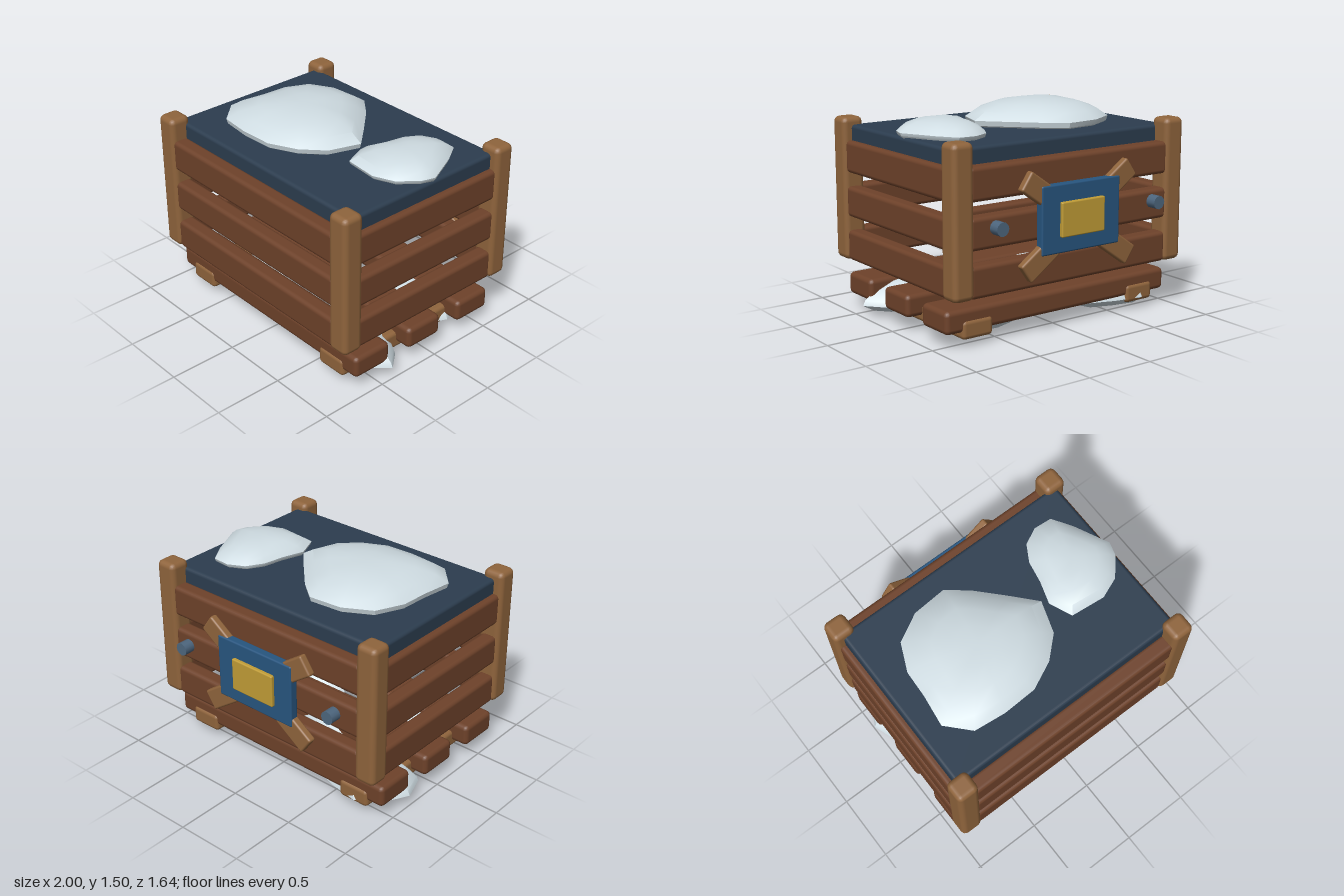
import * as THREE from 'three';
import { RoundedBoxGeometry } from 'three/addons/geometries/RoundedBoxGeometry.js';
import { toCreasedNormals } from 'three/addons/utils/BufferGeometryUtils.js';

const mat = (color) => new THREE.MeshStandardMaterial({ color });

export function createModel() {
  const model = new THREE.Group();
  const darkWood = mat(0x6e422a), lightWood = mat(0x8f643c), navy = mat(0x2c3d4f);
  const blue = mat(0x27557f), gold = mat(0xc09c36), steel = mat(0x4d667e), snow = mat(0xcfdce2);
  const CX = -0.013, CZ = 0.045; // centre of the crate

  const add = (name, geometry, material, x, y, z) => {
    const mesh = new THREE.Mesh(geometry, material);
    mesh.name = name;
    mesh.position.set(x, y, z);
    model.add(mesh);
    return mesh;
  };
  // softened box given by its min and max on each axis
  const block = (name, material, [x0, x1], [y0, y1], [z0, z1], r = 0.03) =>
    add(name, new RoundedBoxGeometry(x1 - x0, y1 - y0, z1 - z0, 2, r), material,
      (x0 + x1) / 2, (y0 + y1) / 2, (z0 + z1) / 2);

  // lump from a plan outline: stacked rings [scale, height], closed at both ends
  const lump = (name, outline, rings, cx, cz) => {
    const n = outline.length, pos = [], idx = [];
    for (const [s, y] of rings)
      for (const [x, z] of outline) pos.push(cx + (x - cx) * s, y, cz + (z - cz) * s);
    const last = rings.length - 1;
    pos.push(cx, rings[0][1], cz, cx, rings[last][1], cz);
    const bottom = n * rings.length, top = bottom + 1;
    for (let i = 0; i < n; i++) {
      const j = (i + 1) % n;
      for (let k = 0; k < last; k++) {
        const a = k * n + i, b = k * n + j;
        idx.push(a, a + n, b, b, a + n, b + n);
      }
      idx.push(bottom, i, j, top, last * n + j, last * n + i);
    }
    const g = new THREE.BufferGeometry();
    g.setAttribute('position', new THREE.Float32BufferAttribute(pos, 3));
    g.setIndex(idx);
    add(name, toCreasedNormals(g, 0.6), snow, 0, 0, 0);
  };

  // corner posts
  for (const x of [[-0.997, -0.833], [0.807, 0.971]])
    for (const z of [[-0.725, -0.565], [0.655, 0.815]])
      block('cornerPost', lightWood, x, [0.36, 1.395], z, 0.04);

  // three rows of slats on all four sides
  for (const y of [[0.36, 0.58], [0.68, 0.9], [1.0, 1.23]]) {
    block('frontSlat', darkWood, [-0.86, 0.834], y, [0.68, 0.8]);
    block('backSlat', darkWood, [-0.86, 0.834], y, [-0.71, -0.59]);
    block('sideSlat', darkWood, [-0.975, -0.86], y, [-0.59, 0.68]);
    block('sideSlat', darkWood, [0.834, 0.95], y, [-0.59, 0.68]);
  }

  // lid with the board below it
  block('lid', navy, [-0.93, 0.905], [1.1, 1.34], [-0.605, 0.695], 0.025);
  block('innerBoard', darkWood, [-0.86, 0.834], [0.98, 1.12], [-0.53, 0.625], 0.02);

  // pallet: long boards on two cross skids
  for (const z of [[0.38, 0.69], [-0.105, 0.2], [-0.585, -0.28]])
    block('palletBoard', darkWood, [-0.97, 0.945], [0.107, 0.268], z, 0.035);
  for (const x of [[-0.845, -0.6], [0.575, 0.82]])
    block('palletSkid', lightWood, x, [0.057, 0.19], [-0.597, 0.7], 0.03);

  // crossed braces, plate and bolts on the back
  for (const s of [-1, 1])
    add('crossBrace', new RoundedBoxGeometry(1.1, 0.15, 0.06, 2, 0.015), lightWood, CX, 0.795, -0.752)
      .rotation.z = s * 0.61;
  block('backPlate', blue, [-0.347, 0.321], [0.59, 1.06], [-0.79, -0.725], 0.012);
  block('plateInset', gold, [-0.197, 0.171], [0.7, 0.94], [-0.815, -0.77], 0.01);
  for (const s of [-1, 1])
    add('bolt', new THREE.CylinderGeometry(0.048, 0.048, 0.08, 12), steel, CX + s * 0.673, 0.83, -0.782)
      .rotation.x = Math.PI / 2;

  // snow mounds on the lid (outlines run from the back towards -x, or +x reversed)
  const mound = (outline, height, cx, cz) =>
    lump('snowMound', outline,
      [[0.9, 1.325], [0.98, 1.35], [1, 1.335 + height * 0.3], [0.84, 1.335 + height * 0.62],
        [0.6, 1.335 + height * 0.86], [0.3, 1.335 + height * 0.98], [0.1, 1.335 + height]], cx, cz);
  mound([[-0.2, -0.43], [-0.45, -0.41], [-0.65, -0.3], [-0.74, -0.1], [-0.75, 0.1], [-0.78, 0.33],
    [-0.63, 0.49], [-0.4, 0.515], [-0.15, 0.505], [0.05, 0.41], [0.2, 0.27], [0.275, 0.04],
    [0.13, -0.12], [-0.05, -0.31]].reverse(), 0.17, -0.28, 0.06);
  mound([[0.58, -0.42], [0.71, -0.41], [0.8, -0.27], [0.92, -0.02], [0.89, 0.08], [0.78, 0.21],
    [0.63, 0.27], [0.38, 0.245], [0.31, 0.08], [0.36, -0.08], [0.39, -0.24], [0.46, -0.36]],
  0.12, 0.61, -0.06);

  // lumps under the pallet: centre x, z and half sizes
  const lumps = [[0.5, -0.28, 0.35, 0.23], [0.59, 0.4, 0.405, 0.23], [-0.03, 0.01, 0.4, 0.18],
    [-0.62, -0.32, 0.38, 0.3], [-0.4, 0.4, 0.35, 0.22]];
  lumps.forEach(([cx, cz, rx, rz], k) => {
    const outline = [];
    for (let i = 0; i < 10; i++) {
      const a = (i / 10) * Math.PI * 2;
      const r = i % 5 === 0 ? 1 : 0.95 + 0.08 * Math.sin(i * 2.3 + k * 1.7);
      outline.push([cx + Math.cos(a) * rx * r, cz + Math.sin(a) * rz * r]);
    }
    lump('snowClump', outline, [[0.12, 0.003], [0.45, 0.012], [0.78, 0.035], [1, 0.085],
      [0.96, 0.12], [0.75, 0.185], [0.45, 0.235], [0.12, 0.255]], cx, cz);
  });

  return model;
}
